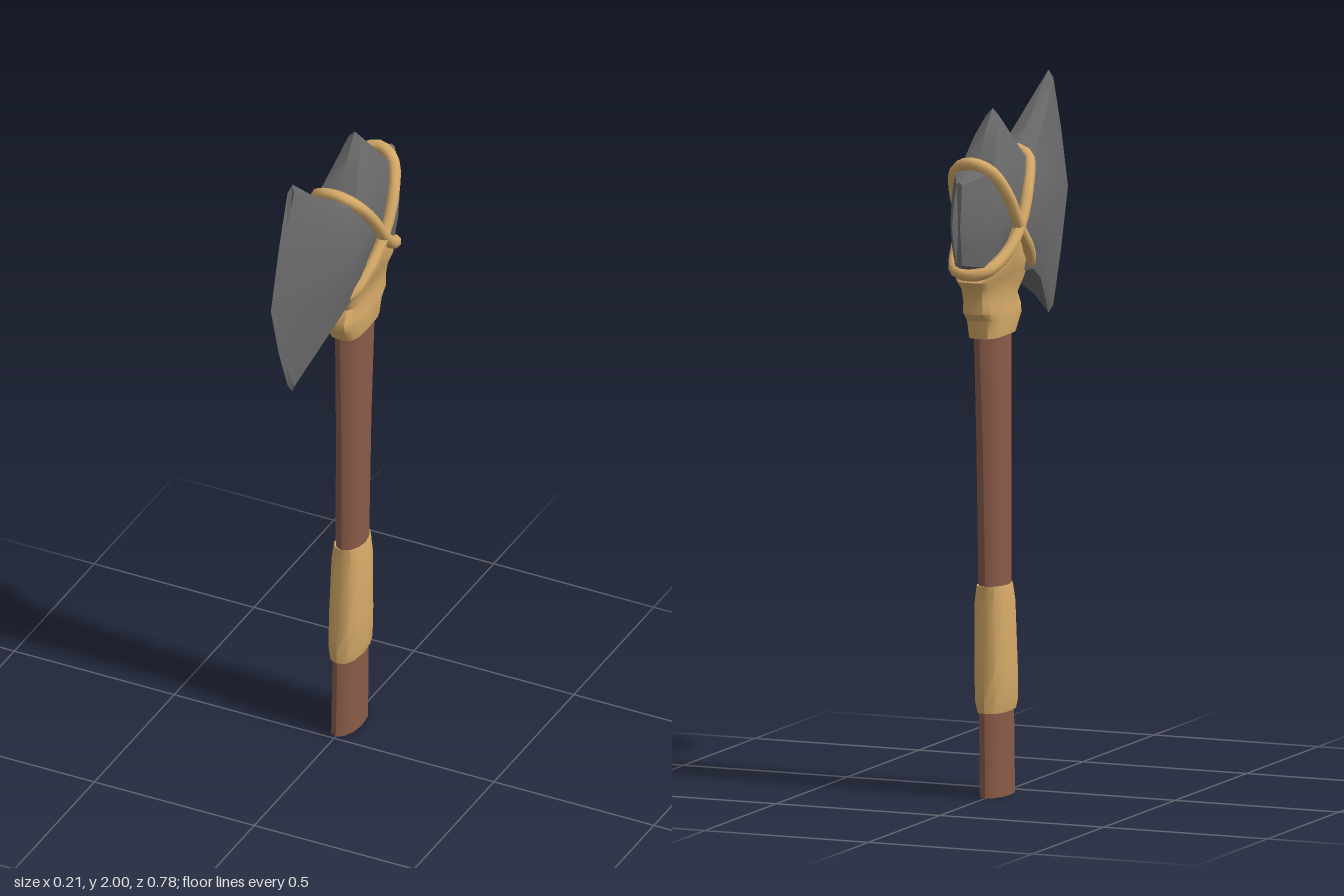
import * as THREE from 'three';
import { toCreasedNormals } from 'three/addons/utils/BufferGeometryUtils.js';

// Skin a list of equal-length rings (counter-clockwise seen from the loft's end) and cap both ends
function loft(rings, crease) {
  const n = rings[0].length;
  const pos = rings.flat().flatMap(p => [p.x, p.y, p.z]);
  const index = [];
  for (let i = 0; i < rings.length - 1; i++) {
    for (let j = 0; j < n; j++) {
      const a = i * n + j, b = i * n + (j + 1) % n;
      index.push(a, b, b + n, a, b + n, a + n);
    }
  }
  [0, rings.length - 1].forEach((r, end) => {
    const c = rings[r].reduce((s, p) => s.add(p), new THREE.Vector3()).divideScalar(n);
    const ci = pos.length / 3;
    pos.push(c.x, c.y, c.z);
    for (let j = 0; j < n; j++) {
      const a = r * n + j, b = r * n + (j + 1) % n;
      index.push(ci, end ? a : b, end ? b : a);
    }
  });
  const g = new THREE.BufferGeometry();
  g.setAttribute('position', new THREE.Float32BufferAttribute(pos, 3));
  g.setIndex(index);
  return toCreasedNormals(g, crease);
}

// Oval rings stacked up y: [y, zBack, zFront, halfWidth]; power below 1 squares the oval
function ovalLoft(rows, sides, power = 1, crease = 0.7) {
  const soft = v => Math.sign(v) * Math.abs(v) ** power;
  return loft(rows.map(([y, zb, zf, w]) => Array.from({ length: sides }, (_, j) => {
    const a = j / sides * Math.PI * 2;
    return new THREE.Vector3(w * soft(Math.cos(a)), y, (zb + zf) / 2 - (zf - zb) / 2 * soft(Math.sin(a)));
  })), crease);
}

// One ring of the stone head: [zRim, zMid, yTop, yBottom, shoulderHalfWidth, midHalfWidth]
function stoneRing([zRim, zMid, yTop, yBot, ws, wm]) {
  const yMid = 1.65, wq = ws + (wm - ws) * 0.75;
  const point = (x, t) => new THREE.Vector3(
    x,
    yMid + (t > 0 ? yTop - yMid : yMid - yBot) * t,
    zMid + (zRim - zMid) * Math.abs(t) ** 1.3
  );
  const side = [[ws, -0.93], [wq, -0.5], [wm, 0], [wq, 0.5], [ws, 0.93]];
  return [
    point(0, -1), ...side.map(([x, t]) => point(x, t)),
    point(0, 1), ...side.slice().reverse().map(([x, t]) => point(-x, t)),
  ];
}

export function createModel() {
  const group = new THREE.Group();
  const material = (name, color) => Object.assign(new THREE.MeshStandardMaterial({ color }), { name });
  const stone = material('grey stone', 0x6b6b6b);
  const wood = material('brown wood', 0x8a5b48);
  const hide = material('tan hide', 0xd6aa68);
  const add = (name, geometry, mat) => {
    const mesh = new THREE.Mesh(geometry, mat);
    mesh.name = name;
    group.add(mesh);
  };

  // Wooden shaft
  add('handle', ovalLoft([
    [0, -0.185, -0.01, 0.04],
    [0.24, -0.187, -0.02, 0.041],
    [0.6, -0.183, -0.047, 0.041],
    [1.0, -0.2, -0.045, 0.042],
    [1.34, -0.226, -0.036, 0.043],
  ], 12), wood);

  // Hide grip on the lower shaft
  add('grip', ovalLoft([
    [0.24, -0.189, -0.016, 0.043],
    [0.27, -0.192, -0.014, 0.05],
    [0.36, -0.194, -0.019, 0.051],
    [0.55, -0.188, -0.04, 0.05],
    [0.6, -0.187, -0.045, 0.043],
  ], 12, 0.85), hide);

  // Lumpy hide wrap that rises to a point under the rope crossing
  add('headWrap', ovalLoft([
    [1.31, -0.23, -0.034, 0.045],
    [1.36, -0.238, -0.002, 0.051],
    [1.385, -0.27, 0.0, 0.05],
    [1.42, -0.272, -0.02, 0.047],
    [1.455, -0.28, 0.015, 0.053],
    [1.48, -0.305, 0.025, 0.06],
    [1.51, -0.28, -0.005, 0.073],
    [1.56, -0.22, -0.07, 0.082],
    [1.62, -0.16, -0.12, 0.087],
  ], 16, 0.6), hide);

  // Stone head from poll, over the central peak, to the flared blade
  add('stoneHead', loft([
    [-0.362, -0.387, 1.775, 1.53, 0.008, 0.012],
    [-0.29, -0.3, 1.795, 1.515, 0.045, 0.055],
    [-0.23, -0.23, 1.815, 1.5, 0.05, 0.072],
    [-0.18, -0.18, 1.895, 1.5, 0.034, 0.077],
    [-0.13, -0.13, 1.95, 1.49, 0.02, 0.078],
    [-0.08, -0.08, 1.885, 1.48, 0.036, 0.079],
    [-0.03, -0.03, 1.815, 1.465, 0.055, 0.08],
    [0.03, 0.03, 1.81, 1.46, 0.055, 0.078],
    [0.1, 0.12, 1.86, 1.42, 0.045, 0.066],
    [0.26, 0.39, 2.0, 1.31, 0.01, 0.003],
  ].map(stoneRing), 0.5), stone);

  // Two crossed rope loops: half a loop [x, y, z], mirrored to the other side
  const ropes = {
    ropeFrontTop: [[0, 1.815, 0.005], [0.05, 1.8, -0.004], [0.08, 1.72, -0.07], [0.086, 1.62, -0.14],
      [0.076, 1.555, -0.21], [0.045, 1.51, -0.285], [0, 1.5, -0.297]],
    ropeBackTop: [[0, 1.815, -0.28], [0.05, 1.795, -0.265], [0.08, 1.72, -0.21], [0.084, 1.62, -0.14],
      [0.077, 1.55, -0.06], [0.05, 1.495, 0.005], [0, 1.48, 0.02]],
  };
  for (const [name, half] of Object.entries(ropes)) {
    const mirrored = half.slice(1, -1).reverse().map(([x, y, z]) => [-x, y, z]);
    const path = new THREE.CatmullRomCurve3([...half, ...mirrored].map(p => new THREE.Vector3(...p)), true);
    add(name, new THREE.TubeGeometry(path, 48, 0.018, 8, true), hide);
  }
  return group;
}
